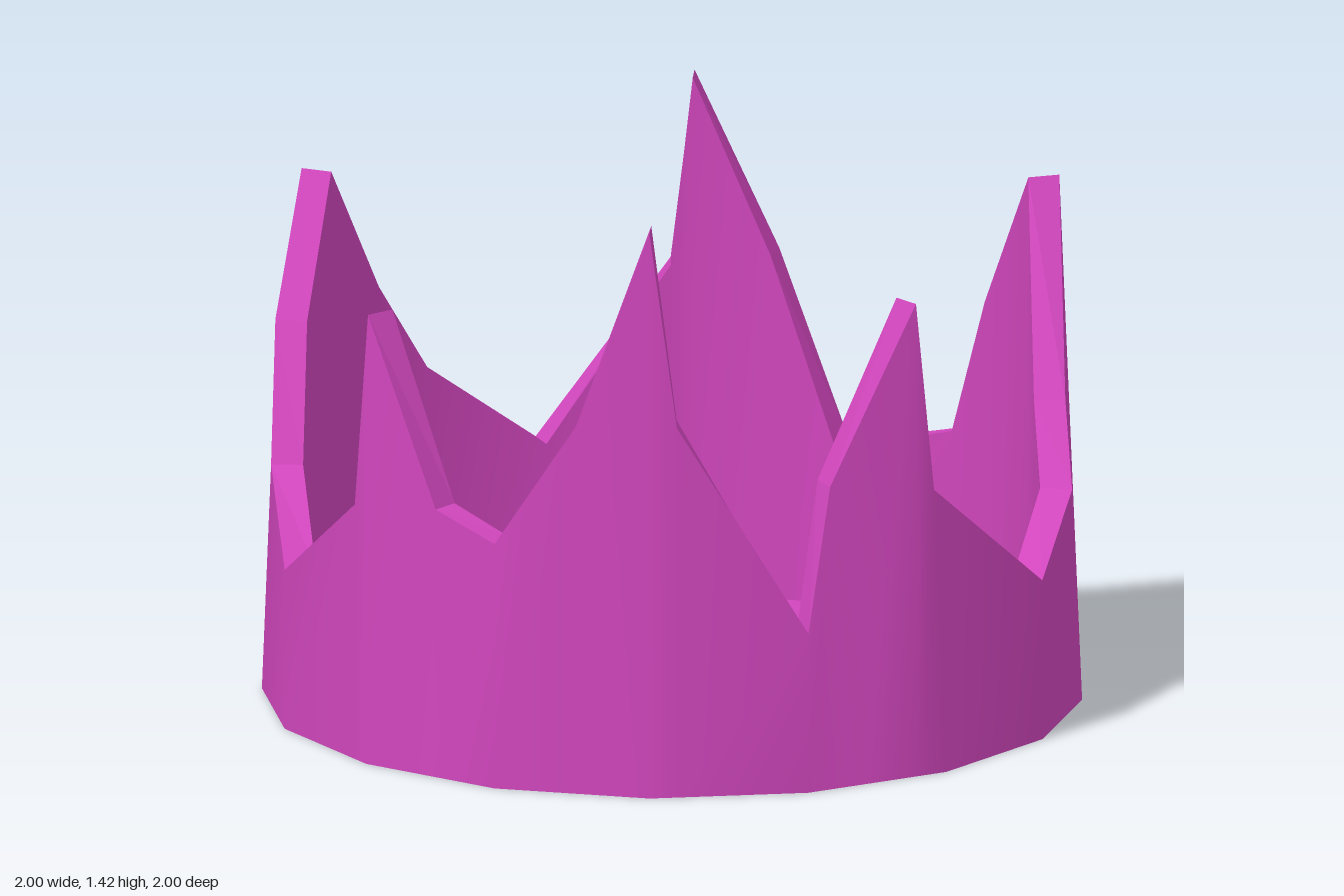
import * as THREE from 'three';

const SIDES = 16;
const INNER = 0.92; // inner wall as a fraction of the outer wall
const FLOOR = 0.01;

// Rim points: position around the 16-sided base (0 = front, 4 = left), then x, y, z
const RIM = [
  [0, 0, 0.615, 1], [0.5, 0.21, 0.93, 0.98], [1, 0.38, 1.42, 0.92], [1.2, 0.44, 0.93, 0.89],
  [2, 0.707, 0.4, 0.707], [2.4, 0.705, 0.74, 0.58], [2.8, 0.86, 1.18, 0.42], [3, 0.88, 0.7, 0.36],
  [4, 1, 0.4, 0], [4.6, 0.97, 0.57, -0.23], [5, 0.88, 0.75, -0.38], [6, 0.707, 1.22, -0.707],
  [6.6, 0.52, 0.86, -0.83], [7, 0.38, 0.5, -0.92], [8, 0, 0.4, -1], [8.5, -0.18, 0.87, -0.98],
  [9, -0.38, 1.31, -0.92], [9.2, -0.43, 0.84, -0.89], [10, -0.707, 0.4, -0.707], [11, -0.91, 0.64, -0.4],
  [11.4, -0.975, 0.87, -0.24], [12, -1, 1.21, 0], [12.5, -0.975, 0.88, 0.2], [13, -0.91, 0.56, 0.36],
  [14, -0.707, 0.4, 0.707], [14.8, -0.43, 0.64, 0.89], [15, -0.38, 1.13, 0.92], [15.5, -0.19, 0.665, 0.935],
];

// Point on the straight-sided base outline
function basePoint(t) {
  const corner = (k) => {
    const a = (k / SIDES) * Math.PI * 2;
    return new THREE.Vector3(Math.sin(a), 0, Math.cos(a));
  };
  const k = Math.floor(t);
  return corner(k).lerp(corner(k + 1), t - k);
}

const inset = (p, y = p.y) => new THREE.Vector3(p.x * INNER, y, p.z * INNER);

// Closed strip of quads between two rings; the front faces outward for lower -> upper
function strip(lower, upper, smooth) {
  const n = lower.length;
  const index = [];
  for (let i = 0; i < n; i++) {
    const j = (i + 1) % n;
    index.push(i, j, n + j, i, n + j, n + i);
  }
  let geo = new THREE.BufferGeometry().setFromPoints([...lower, ...upper]);
  geo.setIndex(index);
  if (!smooth) geo = geo.toNonIndexed();
  geo.computeVertexNormals();
  return geo;
}

export function createModel() {
  const group = new THREE.Group();
  group.name = 'crown';
  const material = new THREE.MeshStandardMaterial({ color: 0xd046bc });
  const add = (name, geometry) => {
    const mesh = new THREE.Mesh(geometry, material);
    mesh.name = name;
    group.add(mesh);
    return mesh;
  };

  const outerBase = RIM.map(([t]) => basePoint(t));
  const outerRim = RIM.map(([, x, y, z]) => new THREE.Vector3(x, y, z));
  const innerBase = outerBase.map((p) => inset(p, FLOOR));
  const innerRim = outerRim.map((p) => inset(p));

  // Walls and the jagged edge joining them
  add('outerWall', strip(outerBase, outerRim, true));
  add('innerWall', strip(innerRim, innerBase, true));
  add('spikedRim', strip(outerRim, innerRim, false));

  // Floor inside and underside
  const floor = add('floor', new THREE.CircleGeometry(INNER, SIDES));
  floor.rotation.x = -Math.PI / 2;
  floor.position.y = FLOOR;
  const underside = add('underside', new THREE.CircleGeometry(1, SIDES));
  underside.rotation.x = Math.PI / 2;

  return group;
}
